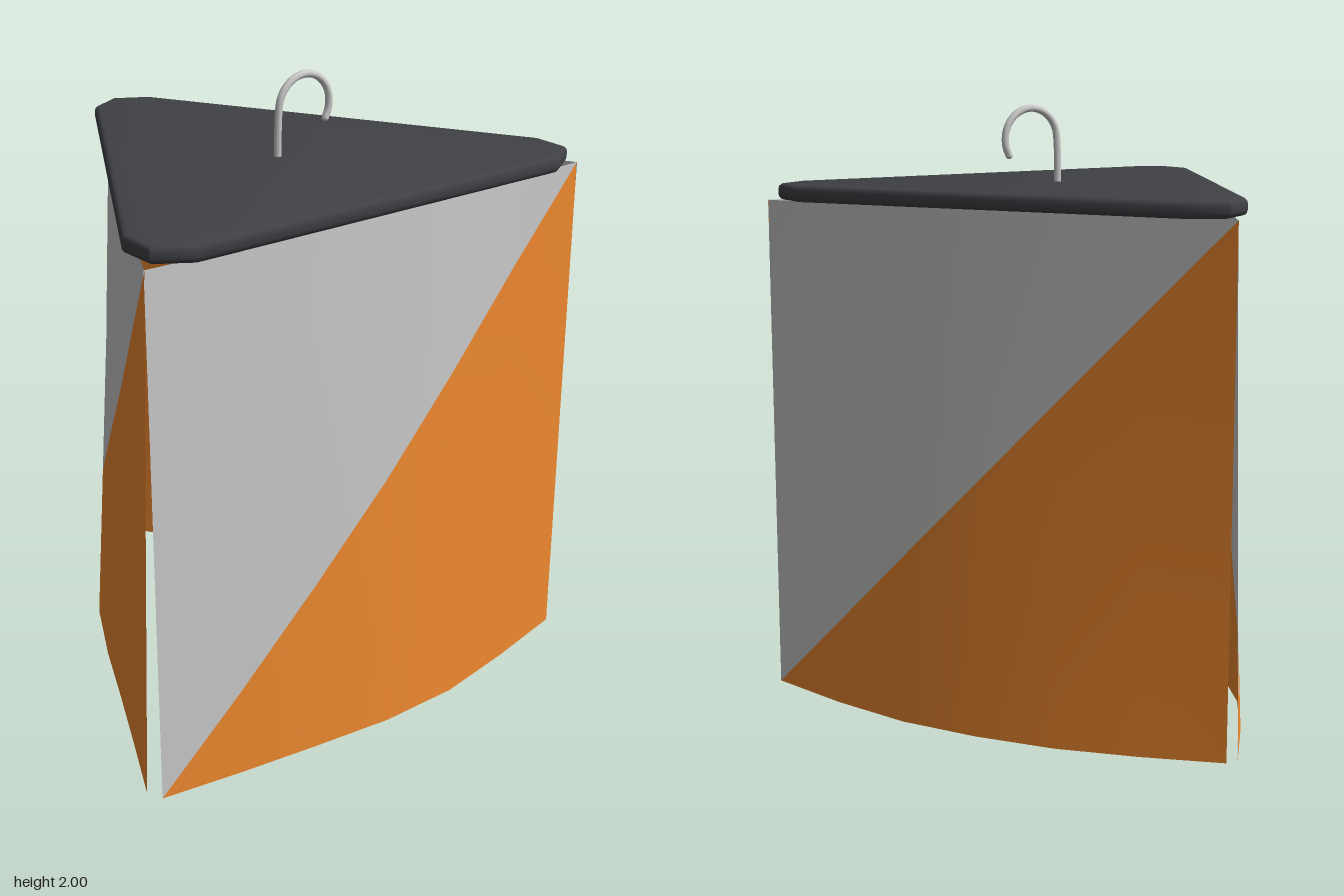
import * as THREE from 'three';
import { toCreasedNormals } from 'three/addons/utils/BufferGeometryUtils.js';

const N = 6;              // cloth grid divisions
const HALF = 0.83;        // half width of a panel
const TOP = 1.69;
const CENTRE_Z = 0.195;   // axis of the three-sided marker

const mat = (color, side = THREE.FrontSide) => new THREE.MeshStandardMaterial({ color, side });

// One cloth sheet; 'hem' lists the outward distance of the bottom edge from left to right
function clothPanel(hem, name, grey, orange) {
  const pos = [], upper = [], lower = [];
  for (let j = 0; j <= N; j++) {
    const v = j / N;
    for (let i = 0; i <= N; i++) {
      const u = (i / N) * 2 - 1;
      const topOut = 0.478 + 0.024 * (1 - u * u);
      const hemY = 0.025 * u * u;
      pos.push(u * HALF, hemY + (TOP - hemY) * v, hem[i] + (topOut - hem[i]) * v);
    }
  }
  // Cells are cut along the rising diagonal, which also divides the colours
  for (let j = 0; j < N; j++) {
    for (let i = 0; i < N; i++) {
      const a = j * (N + 1) + i, b = a + 1, d = a + N + 1, c = d + 1;
      (i >= j ? lower : upper).push(a, b, c);
      (i > j ? lower : upper).push(a, c, d);
    }
  }
  const full = new THREE.BufferGeometry();
  full.setAttribute('position', new THREE.Float32BufferAttribute(pos, 3));
  full.setIndex([...upper, ...lower]);
  full.computeVertexNormals();

  const panel = new THREE.Group();
  panel.name = name;
  [['greyHalf', upper, grey], ['orangeHalf', lower, orange]].forEach(([n, index, m]) => {
    const g = full.clone();
    g.setIndex(index);
    const mesh = new THREE.Mesh(g, m);
    mesh.name = n;
    panel.add(mesh);
  });
  return panel;
}

// Triangular lid with three-point blunted corners and rounded rims
function lidGeometry() {
  const bevel = 0.018;
  const pts = [];
  for (let k = 0; k < 3; k++) {
    const turn = Math.PI / 2 + (k * 2 * Math.PI) / 3;
    [[0.866, -0.105], [0.92, 0], [0.866, 0.105]].forEach(([r, t]) => {
      const p = new THREE.Vector2(r - bevel, t * 0.95);
      pts.push(p.rotateAround(new THREE.Vector2(), turn));
    });
  }
  const g = new THREE.ExtrudeGeometry(new THREE.Shape(pts), {
    depth: 0.055 - 2 * bevel, bevelEnabled: true, bevelSize: bevel,
    bevelThickness: bevel, bevelSegments: 3,
  });
  g.rotateX(-Math.PI / 2);
  g.translate(0, TOP + bevel, 0);
  return toCreasedNormals(g, 0.7);
}

// Wire hook: straight stem followed by an open arc
function hookGeometry() {
  const R = 0.1, cy = 1.888;
  const pts = [new THREE.Vector3(0, 1.73, 0), new THREE.Vector3(0, 1.81, 0)];
  for (let i = 0; i <= 12; i++) {
    const a = Math.PI - (i / 12) * Math.PI * 1.17;
    pts.push(new THREE.Vector3(R + 0.003 + R * Math.cos(a), cy + R * Math.sin(a), 0));
  }
  return new THREE.TubeGeometry(new THREE.CatmullRomCurve3(pts), 48, 0.012, 10);
}

export function createModel() {
  const model = new THREE.Group();
  model.name = 'hangingMarker';
  const body = new THREE.Group();
  body.name = 'body';
  body.position.z = CENTRE_Z;
  model.add(body);

  const grey = mat(0xcccccc, THREE.DoubleSide);
  const orange = mat(0xf08a30, THREE.DoubleSide);
  const dark = mat(0x3f4145);
  const metal = mat(0xcccccc);

  // Three billowing cloth sides
  [
    ['frontPanel', [0.515, 0.54, 0.565, 0.592, 0.592, 0.55, 0.5]],
    ['leftPanel', [0.505, 0.56, 0.598, 0.6, 0.585, 0.547, 0.505]],
    ['rightPanel', [0.505, 0.558, 0.59, 0.575, 0.548, 0.525, 0.505]],
  ].forEach(([name, hem], k) => {
    const panel = clothPanel(hem, name, grey, orange);
    panel.rotation.y = (k * 2 * Math.PI) / 3;
    body.add(panel);
  });

  const lid = new THREE.Mesh(lidGeometry(), dark);
  lid.name = 'lid';
  body.add(lid);

  const hook = new THREE.Group();
  hook.name = 'hook';
  const wire = new THREE.Mesh(hookGeometry(), metal);
  wire.name = 'hookWire';
  // Rounded end of the wire
  const tip = new THREE.Mesh(new THREE.SphereGeometry(0.012, 10, 8), metal);
  tip.name = 'hookTip';
  const a = -Math.PI * 0.17;
  tip.position.set(0.103 + 0.1 * Math.cos(a), 1.888 + 0.1 * Math.sin(a), 0);
  hook.add(wire, tip);
  body.add(hook);

  return model;
}
